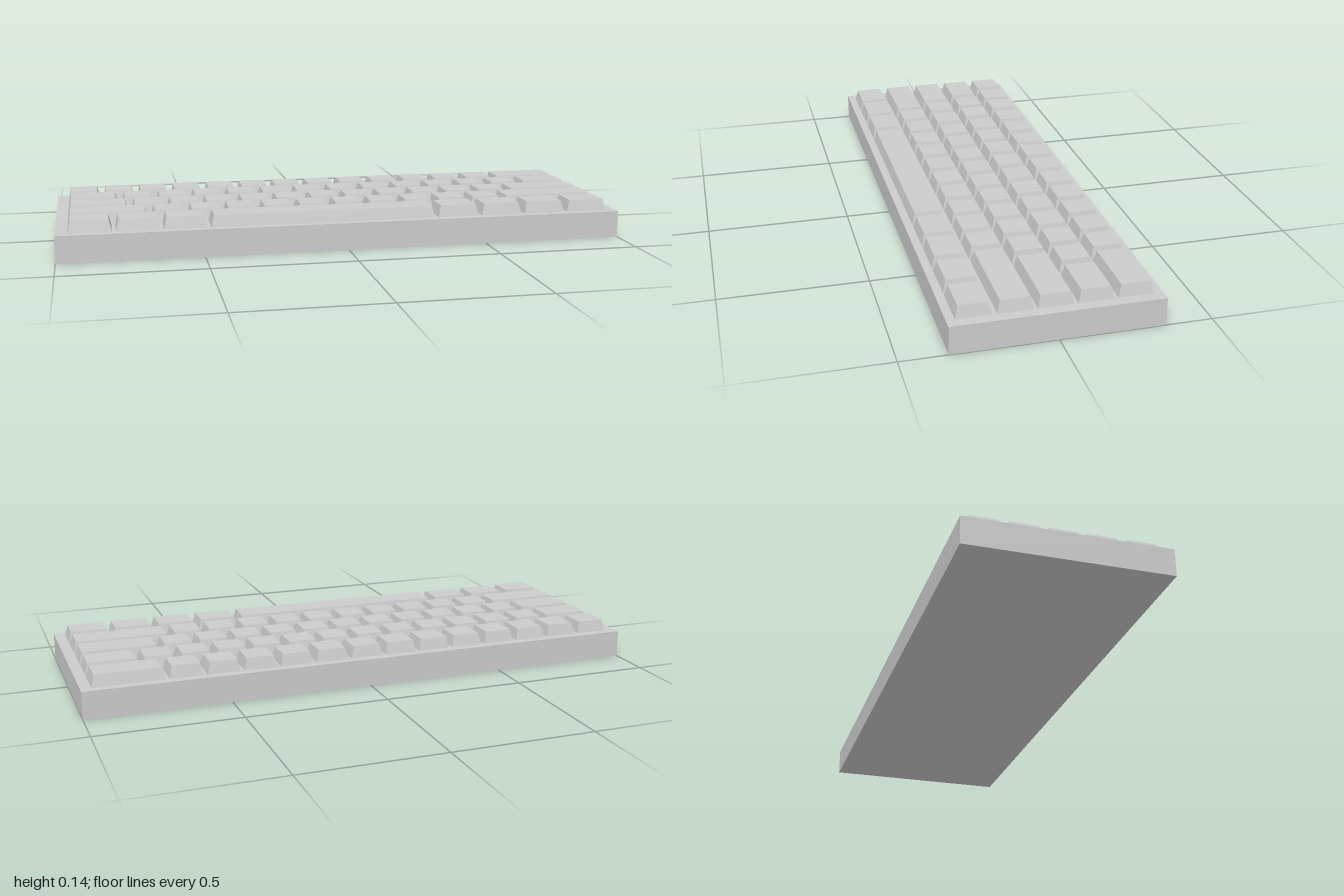
import * as THREE from 'three';

const UNIT = 0.1289;      // pitch of a single key
const GAP = 0.013;        // space between neighbouring keys
const CASE_TOP = 0.096;
const KEY_HEIGHT = 0.041;
const TAPER = 0.010;      // inset of the key top on each side

const ones = (n) => Array(n).fill(1);

// Key widths in units, back row first
const ROWS = [
  { name: 'numberRow', z: -0.257, widths: [...ones(13), 2] },
  { name: 'upperRow', z: -0.128, widths: [1.5, ...ones(12), 1.5] },
  { name: 'homeRow', z: 0.001, widths: [1.75, ...ones(11), 2.25] },
  { name: 'lowerRow', z: 0.128, widths: [2.25, ...ones(10), 2.75] },
  { name: 'bottomRow', z: 0.259, widths: [1.25, 1.25, 1.25, 6.25, 1.25, 1.25, 1.25, 1.25] },
];

// Box whose top face is pulled inwards
function keycapGeometry(width, depth) {
  const geometry = new THREE.BoxGeometry(width, KEY_HEIGHT, depth);
  const p = geometry.attributes.position;
  for (let i = 0; i < p.count; i++) {
    if (p.getY(i) > 0) {
      p.setX(i, p.getX(i) - Math.sign(p.getX(i)) * TAPER);
      p.setZ(i, p.getZ(i) - Math.sign(p.getZ(i)) * TAPER);
    }
  }
  geometry.computeVertexNormals();
  return geometry;
}

export function createModel() {
  const model = new THREE.Group();
  model.name = 'keyboard';
  const grey = new THREE.MeshStandardMaterial({ color: 0xcccccc });
  grey.name = 'light grey';

  // Case
  const body = new THREE.Mesh(new THREE.BoxGeometry(2, CASE_TOP, 0.69), grey);
  body.name = 'case';
  body.position.y = CASE_TOP / 2;
  model.add(body);

  // Rows of keys
  for (const { name, z, widths } of ROWS) {
    const row = new THREE.Group();
    row.name = name;
    row.position.set(0, CASE_TOP + KEY_HEIGHT / 2, z);
    let x = -0.958;
    for (const units of widths) {
      const width = units * UNIT - GAP;
      const key = new THREE.Mesh(keycapGeometry(width, 0.116), grey);
      key.name = units > 6 ? 'spaceBar' : 'key';
      key.position.x = x + width / 2;
      row.add(key);
      x += units * UNIT;
    }
    model.add(row);
  }
  return model;
}
